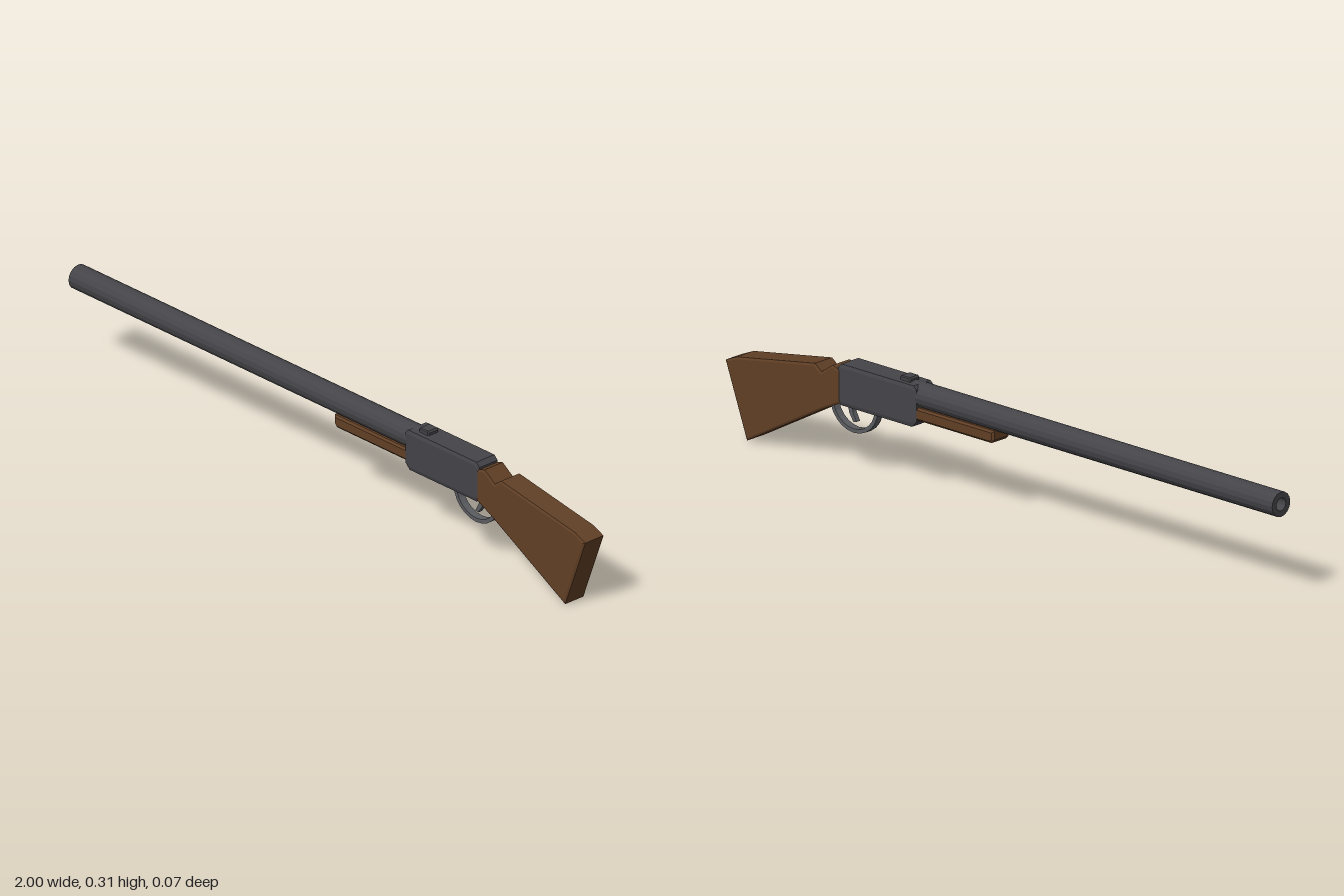
import * as THREE from 'three';

// Side profile extruded across z, with chamfered long edges
function slab(points, halfWidth, chamferZ, chamferIn) {
  const shape = new THREE.Shape(points.map(([x, y]) => new THREE.Vector2(x, y)));
  const depth = 2 * (halfWidth - chamferZ);
  const geometry = new THREE.ExtrudeGeometry(shape, {
    depth, bevelEnabled: chamferZ > 0, bevelThickness: chamferZ,
    bevelSize: chamferIn, bevelOffset: -chamferIn, bevelSegments: 1,
  });
  return geometry.translate(0, 0, -depth / 2);
}

export function createModel() {
  const group = new THREE.Group();
  const flat = (name, color) => {
    const material = new THREE.MeshStandardMaterial({ color, flatShading: true });
    material.name = name;
    return material;
  };
  const gunmetal = flat('gunmetal', 0x444449);
  const wood = flat('walnut', 0x603f25);
  const steel = flat('steel', 0x5b5c60);
  const add = (name, geometry, material) => {
    const mesh = new THREE.Mesh(geometry, material);
    mesh.name = name;
    group.add(mesh);
    return mesh;
  };

  // Hollow barrel, muzzle towards -x
  const length = 1.34;
  const barrelProfile = [[0.035, 0], [0.035, length], [0.018, length], [0.018, length - 0.1], [0, length - 0.1]];
  const barrel = new THREE.LatheGeometry(barrelProfile.map(([r, y]) => new THREE.Vector2(r, y)), 16);
  barrel.rotateZ(Math.PI / 2).translate(0.34, 0.264, 0);
  add('barrel', barrel, gunmetal);

  // Receiver with clipped corners
  add('receiver', slab([
    [0.302, 0.196], [0.318, 0.18], [0.578, 0.18], [0.588, 0.19],
    [0.588, 0.284], [0.576, 0.296], [0.312, 0.296], [0.302, 0.286],
  ], 0.036, 0.003, 0.01), gunmetal);

  // Rear sight
  add('rearSight', slab([
    [0.338, 0.29], [0.376, 0.29], [0.376, 0.303], [0.372, 0.308], [0.342, 0.308], [0.338, 0.303],
  ], 0.019, 0.003, 0.003), gunmetal);

  // Fore-end under the barrel
  add('foreEnd', slab([
    [0.022, 0.21], [0.032, 0.2], [0.31, 0.2], [0.31, 0.236], [0.022, 0.236],
  ], 0.032, 0.005, 0.006), wood);

  // Grip and shoulder stock
  add('stock', slab([
    [0.578, 0.185], [0.64, 0.155], [0.92, 0], [0.998, 0.209], [0.958, 0.226],
    [0.672, 0.275], [0.648, 0.257], [0.608, 0.285], [0.578, 0.275],
  ], 0.036, 0.003, 0.006), wood);

  // Trigger guard: a half-oval band
  const band = [];
  const steps = 12;
  for (const [rx, ry, dir] of [[0.087, 0.082, 1], [0.076, 0.071, -1]]) {
    for (let i = 0; i <= steps; i++) {
      const t = dir > 0 ? i / steps : 1 - i / steps;
      const a = Math.PI * (1 + t);
      band.push([0.551 + rx * Math.cos(a), 0.185 + ry * Math.sin(a)]);
    }
  }
  add('triggerGuard', slab(band, 0.011, 0, 0), steel);

  // Trigger
  add('trigger', slab([
    [0.562, 0.19], [0.558, 0.158], [0.545, 0.134], [0.556, 0.131], [0.572, 0.155], [0.578, 0.19],
  ], 0.007, 0, 0), steel);

  return group;
}
